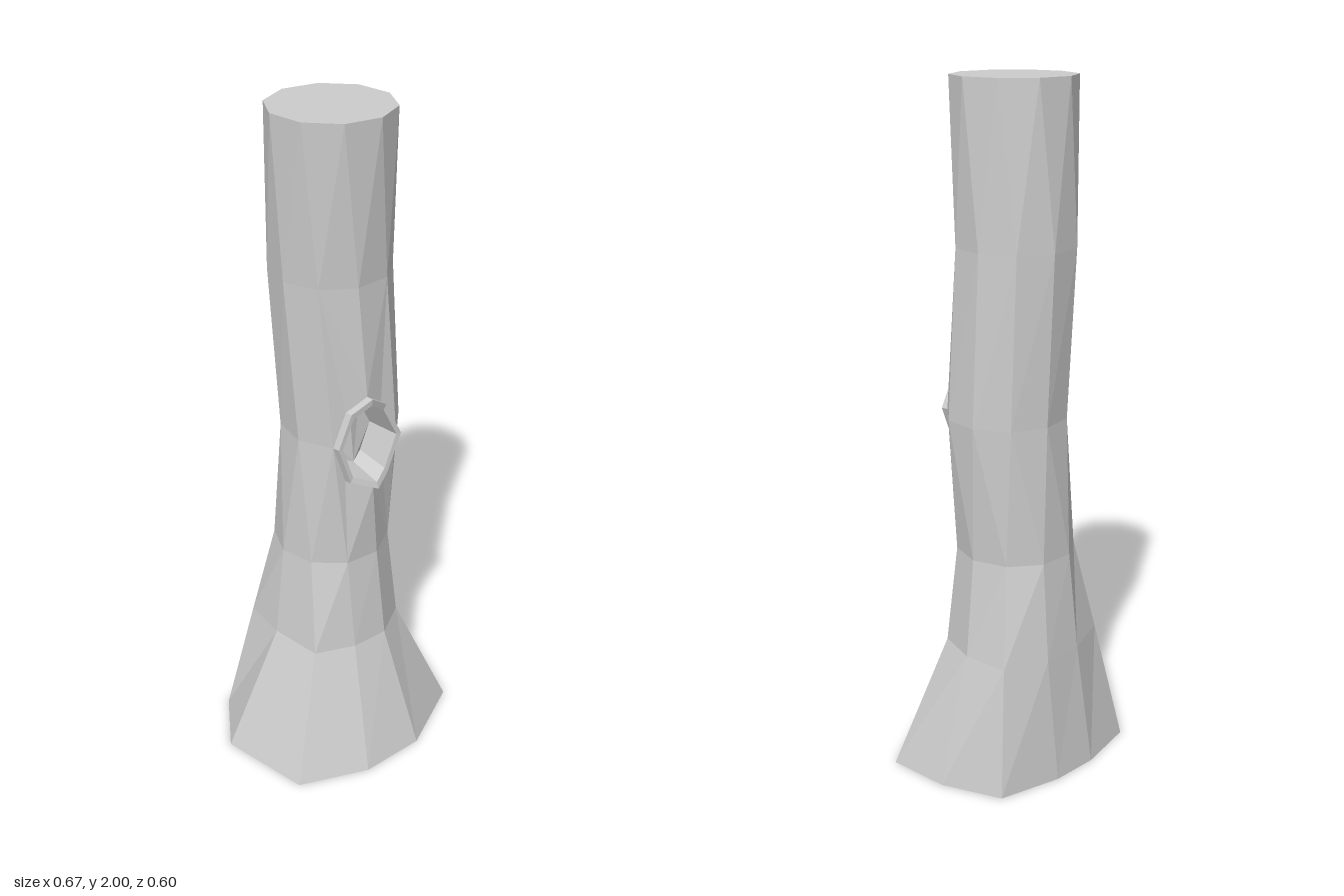
import * as THREE from 'three';

const material = new THREE.MeshStandardMaterial({ color: 0xcccccc, flatShading: true });
const SIDES = 10;
const KNOT = SIDES - 1; // column whose vertex at ring 3 is opened into the knothole

const v = (x, y, z) => new THREE.Vector3(x, y, z);

// Ring from explicit [x, z] corners (flared roots)
const cornerRing = (y, corners) => corners.map(([x, z]) => v(x, y, z));

// Regular ring, offset and twisted about the trunk (angle measured from +z towards +x)
function roundRing(y, cx, cz, radius, twistDegrees) {
  return Array.from({ length: SIDES }, (_, i) => {
    const a = THREE.MathUtils.degToRad(twistDegrees + (360 / SIDES) * i);
    return v(cx + radius * Math.sin(a), y, cz + radius * Math.cos(a));
  });
}

// Triangle fan over a polygon given counter-clockwise from outside
function addFan(out, points) {
  for (let i = 1; i < points.length - 1; i++) out.push(points[0], points[i], points[i + 1]);
}

// Band of quads between two closed loops
function addBand(out, a, b) {
  a.forEach((p, i) => {
    const j = (i + 1) % a.length;
    addFan(out, [p, a[j], b[j], b[i]]);
  });
}

function makeMesh(name, points) {
  const geometry = new THREE.BufferGeometry().setFromPoints(points);
  geometry.computeVertexNormals();
  const mesh = new THREE.Mesh(geometry, material);
  mesh.name = name;
  return mesh;
}

export function createModel() {
  const group = new THREE.Group();
  group.name = 'treeTrunk';

  const rings = [
    cornerRing(0, [[0.286, 0.244], [0.333, 0.06], [0.32, -0.128], [0.157, -0.232], [0.02, -0.28],
      [-0.17, -0.3], [-0.32, -0.165], [-0.333, 0.118], [-0.155, 0.25], [0.04, 0.3]]),
    cornerRing(0.38, [[0.158, 0.13], [0.235, 0.025], [0.268, -0.11], [0.165, -0.2], [0.04, -0.237],
      [-0.11, -0.23], [-0.155, -0.1], [-0.172, 0.06], [-0.07, 0.135], [0.04, 0.167]]),
    roundRing(0.67, 0.04, -0.037, 0.172, 35),
    roundRing(1.07, 0.055, -0.015, 0.174, 12),
    roundRing(1.55, 0.037, -0.036, 0.172, 8),
    roundRing(2, 0.021, -0.022, 0.174, -6.5),
  ];

  // Knothole opening: follows the wall around its centre vertex
  const [low, mid, high] = [rings[2], rings[3], rings[4]];
  const top = mid[KNOT].clone().lerp(high[KNOT], 0.32);
  const bottom = mid[KNOT].clone().lerp(low[KNOT], 0.38);
  const right = mid[KNOT - 1];
  const left = mid[0];
  const corner = (x, y, z) => v(x, y, z);
  const topLeft = corner(0.04, 1.18, 0.137);
  const topRight = corner(-0.062, 1.175, 0.09);
  const bottomRight = corner(-0.06, 0.95, 0.088);
  const bottomLeft = corner(0.052, 0.95, 0.138);
  const opening = [bottom, bottomLeft, left, topLeft, top, topRight, right, bottomRight];

  // Trunk walls, leaving the four panels around the knothole open
  const trunk = [];
  for (let r = 0; r < rings.length - 1; r++) {
    for (let i = 0; i < SIDES; i++) {
      if ((r === 2 || r === 3) && i >= KNOT - 1) continue;
      const j = (i + 1) % SIDES;
      addFan(trunk, [rings[r][i], rings[r][j], rings[r + 1][j], rings[r + 1][i]]);
    }
  }
  // Panels trimmed around the opening
  addFan(trunk, [low[KNOT - 1], low[KNOT], bottom, bottomRight, right]);
  addFan(trunk, [low[0], left, bottomLeft, bottom, low[KNOT]]);
  addFan(trunk, [high[KNOT - 1], right, topRight, top, high[KNOT]]);
  addFan(trunk, [high[0], high[KNOT], top, topLeft, left]);
  // Cut ends
  addFan(trunk, rings[5]);
  addFan(trunk, [...rings[0]].reverse());
  group.add(makeMesh('trunk', trunk));

  // Raised lip and recessed hollow
  const centre = opening.reduce((sum, p) => sum.add(p), v(0, 0, 0)).divideScalar(opening.length);
  const loop = (scale, dx, dz) => opening.map((p) =>
    p.clone().sub(centre).multiplyScalar(scale).add(centre).add(v(dx, 0, dz)));
  const lipOuter = loop(0.99, -0.002, 0.02);
  const lipInner = loop(0.85, -0.002, 0.018);
  const floor = loop(0.72, 0.025, -0.08);

  const lip = [];
  addBand(lip, opening, lipOuter);
  addBand(lip, lipOuter, lipInner);
  group.add(makeMesh('knotholeLip', lip));

  const hollow = [];
  addBand(hollow, lipInner, floor);
  addFan(hollow, floor);
  group.add(makeMesh('knotholeHollow', hollow));

  return group;
}
